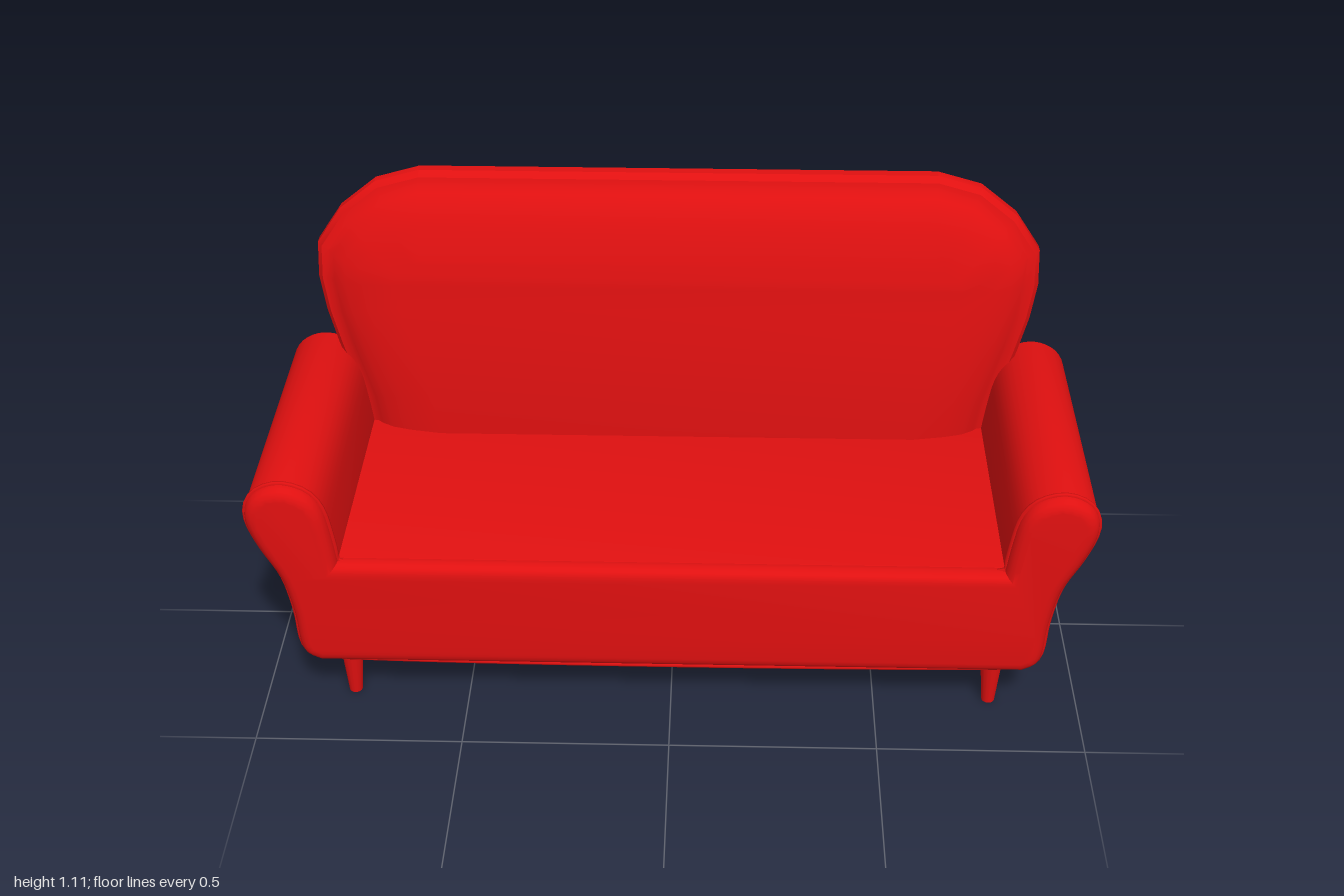
import * as THREE from 'three';
import { toCreasedNormals } from 'three/addons/utils/BufferGeometryUtils.js';

const red = new THREE.MeshStandardMaterial({ color: 0xe01010, side: THREE.DoubleSide });

function addMesh(parent, name, geometry) {
  const mesh = new THREE.Mesh(geometry, red);
  mesh.name = name;
  parent.add(mesh);
  return mesh;
}

// Front outline of the seat block with both rolled arms, counter-clockwise.
function bodyOutline() {
  const arm = [
    [0.85, 0.14], [0.885, 0.16], [0.898, 0.2], [0.904, 0.28], [0.925, 0.38], [0.965, 0.46],
    [0.992, 0.53], [0.994, 0.58], [0.972, 0.62], [0.93, 0.643], [0.885, 0.643], [0.84, 0.62],
    [0.812, 0.575], [0.797, 0.5], [0.788, 0.43],
  ].map(([x, y]) => new THREE.Vector2(x, y));
  const right = new THREE.SplineCurve(arm).getPoints(42);
  const left = right.map((p) => new THREE.Vector2(-p.x, p.y)).reverse();
  return [...right, ...left];
}

// Extrude the outline between two z values, with the rounding kept inside it.
function padded(outline, z0, z1, bevel) {
  const g = new THREE.ExtrudeGeometry(new THREE.Shape(outline), {
    depth: z1 - z0 - 2 * bevel, bevelThickness: bevel, bevelSize: bevel,
    bevelOffset: -bevel, bevelSegments: 4, curveSegments: 1,
  });
  g.translate(0, 0, z0 + bevel);
  return toCreasedNormals(g, 0.7);
}

// Leaning backrest: insets of one outline, lofted from the rear panel to the front cushion.
function backrestGeometry() {
  const half = [
    [0.8, 0.38], [0.82, 0.5], [0.865, 0.65], [0.89, 0.74], [0.905, 0.83], [0.902, 0.92],
    [0.84, 1.01], [0.75, 1.08], [0.64, 1.11],
  ];
  const outline = [...half, ...half.map(([x, y]) => [-x, y]).reverse()];
  const n = outline.length;
  // [inset, offset from the rim plane]
  const layers = [
    [0.16, -0.05], [0.07, -0.052], [0.04, -0.062], [0.015, -0.06], [0, -0.045], [0, -0.02],
    [0.012, -0.004], [0.032, 0], [0.045, 0.012], [0.075, 0.03], [0.12, 0.043], [0.2, 0.058],
  ];
  const pos = [], idx = [];
  for (const [inset, dz] of layers) {
    outline.forEach(([x, y], i) => {
      const a = outline[Math.max(i - 1, 0)], b = outline[Math.min(i + 1, n - 1)];
      let nx = b[1] - a[1], ny = a[0] - b[0];
      if (i === 0 || i === n - 1) ny = 0;
      const len = Math.hypot(nx, ny);
      const py = y - (inset * ny) / len;
      const lean = -0.27 - 0.125 * (Math.max(py, 0.58) - 0.64);
      pos.push(x - (inset * nx) / len, py, lean + dz);
    });
  }
  for (let l = 0; l < layers.length - 1; l++) {
    for (let i = 0; i < n - 1; i++) {
      const a = l * n + i, b = a + 1, c = a + n, d = c + 1;
      idx.push(a, b, c, b, d, c);
    }
  }
  // Rear and front panels as horizontal strips
  const last = (layers.length - 1) * n;
  for (let i = 0; i < n / 2 - 1; i++) {
    const j = n - 1 - i;
    idx.push(i, j, i + 1, j, j - 1, i + 1);
    idx.push(last + i, last + i + 1, last + j, last + j, last + i + 1, last + j - 1);
  }
  const g = new THREE.BufferGeometry();
  g.setAttribute('position', new THREE.Float32BufferAttribute(pos, 3));
  g.setIndex(idx);
  return toCreasedNormals(g, 0.6);
}

export function createModel() {
  const sofa = new THREE.Group();
  sofa.name = 'sofa';

  // Seat and arms, with a padded front and a seam between them
  const outline = bodyOutline();
  addMesh(sofa, 'seatAndArms', padded(outline, -0.355, 0.355, 0.016));
  addMesh(sofa, 'frontPadding', padded(outline, 0.315, 0.383, 0.03));
  const seam = new THREE.CatmullRomCurve3(
    outline.map((p) => new THREE.Vector3(p.x, p.y, 0.35)), true, 'centripetal');
  addMesh(sofa, 'frontPiping', new THREE.TubeGeometry(seam, 220, 0.006, 6, true));

  addMesh(sofa, 'backrest', backrestGeometry());

  // Tapered legs
  const leg = new THREE.CylinderGeometry(0.03, 0.016, 0.16, 16);
  for (const side of [-1, 1]) {
    for (const [end, z] of [['front', 0.305], ['back', -0.24]]) {
      const name = `${end}${side > 0 ? 'Left' : 'Right'}Leg`;
      addMesh(sofa, name, leg).position.set(side * 0.785, 0.08, z);
    }
  }
  return sofa;
}
